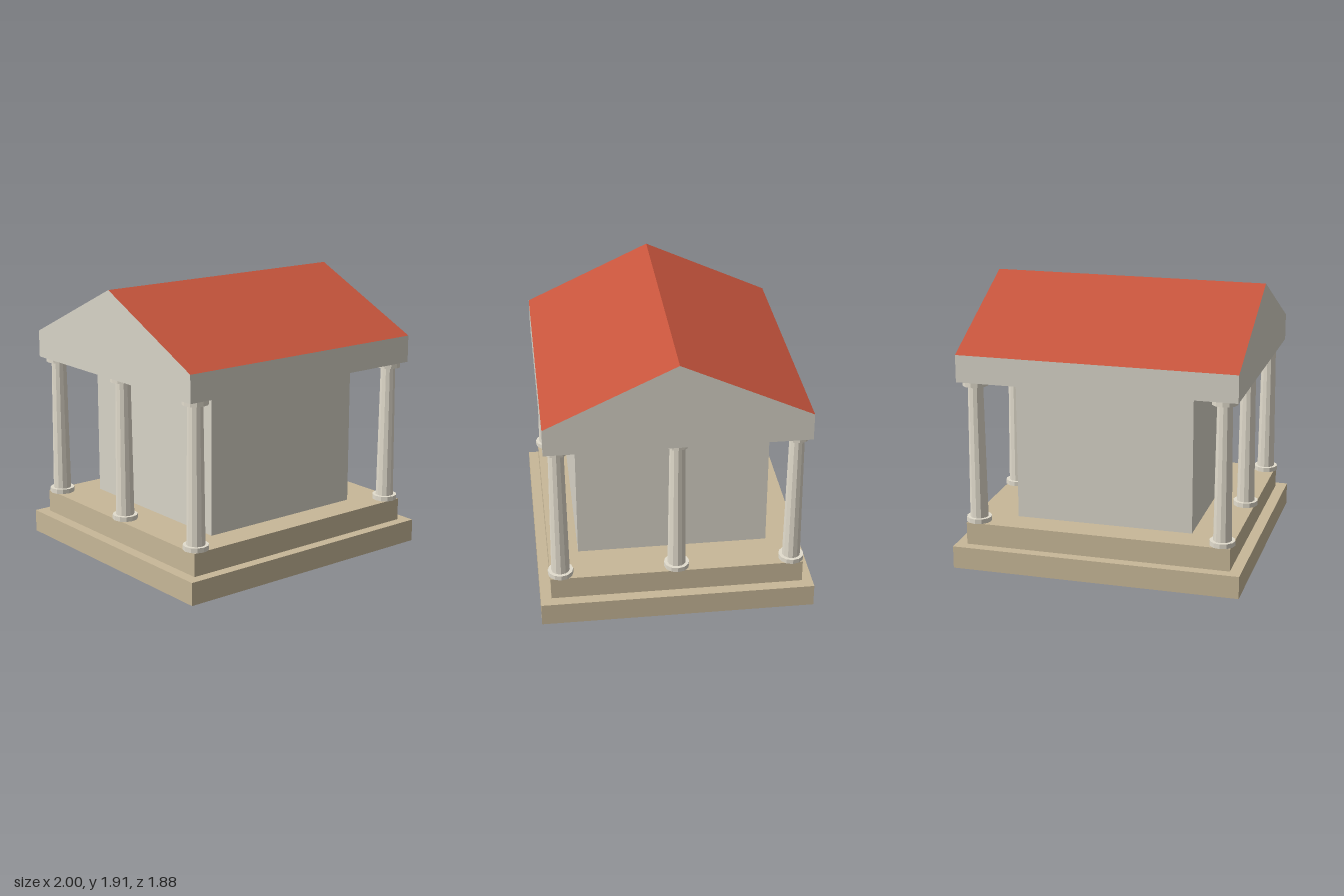
import * as THREE from 'three';

export function createModel() {
  const model = new THREE.Group();
  model.name = 'temple';

  const material = (name, color, flatShading = false) => {
    const m = new THREE.MeshStandardMaterial({ color, flatShading });
    m.name = name;
    return m;
  };
  const sandstone = material('sandstone', 0xc8b898);
  const wallStone = material('wall stone', 0xd8d4c8);
  const columnStone = material('column stone', 0xe2dccd, true);
  const roofTile = material('roof tile', 0xc8553d);

  const add = (parent, name, geometry, mat, x, y, z) => {
    const mesh = new THREE.Mesh(geometry, mat);
    mesh.name = name;
    mesh.position.set(x, y, z);
    parent.add(mesh);
    return mesh;
  };
  const block = (name, mat, width, depth, y0, y1) =>
    add(model, name, new THREE.BoxGeometry(width, y1 - y0, depth), mat, 0, (y0 + y1) / 2, 0);

  // Stepped platform, inner chamber and the beam resting on the columns
  const floor = 0.314, beam = 1.316, eaves = 1.504, ridge = 1.915;
  block('lowerStep', sandstone, 2, 1.88, 0, 0.157);
  block('upperStep', sandstone, 1.846, 1.734, 0.157, floor);
  block('chamber', wallStone, 1.236, 1.32, floor, beam);
  block('entablature', wallStone, 1.92, 1.764, beam, eaves);

  // Gabled roof: stone gable ends, tiled slopes
  const gable = new THREE.Shape([
    new THREE.Vector2(-0.882, 0),
    new THREE.Vector2(0.882, 0),
    new THREE.Vector2(0, ridge - eaves),
  ]);
  const roof = new THREE.ExtrudeGeometry(gable, { depth: 1.92, bevelEnabled: false });
  roof.translate(0, 0, -0.96).rotateY(Math.PI / 2);
  add(model, 'roof', roof, [wallStone, roofTile], 0, eaves, 0);

  // Tapered columns, three along each end
  const disc = 0.033, sides = 12;
  const discGeometry = new THREE.CylinderGeometry(0.087, 0.087, disc, sides);
  const shaftHeight = beam - floor - 2 * disc;
  const shaftGeometry = new THREE.CylinderGeometry(0.052, 0.063, shaftHeight, sides);
  for (const x of [-0.855, 0.855]) {
    for (const z of [-0.795, 0, 0.795]) {
      const column = new THREE.Group();
      column.name = 'column';
      column.position.set(x, floor, z);
      add(column, 'columnBase', discGeometry, columnStone, 0, disc / 2, 0);
      add(column, 'columnShaft', shaftGeometry, columnStone, 0, disc + shaftHeight / 2, 0);
      add(column, 'columnCapital', discGeometry, columnStone, 0, disc * 1.5 + shaftHeight, 0);
      model.add(column);
    }
  }
  return model;
}
